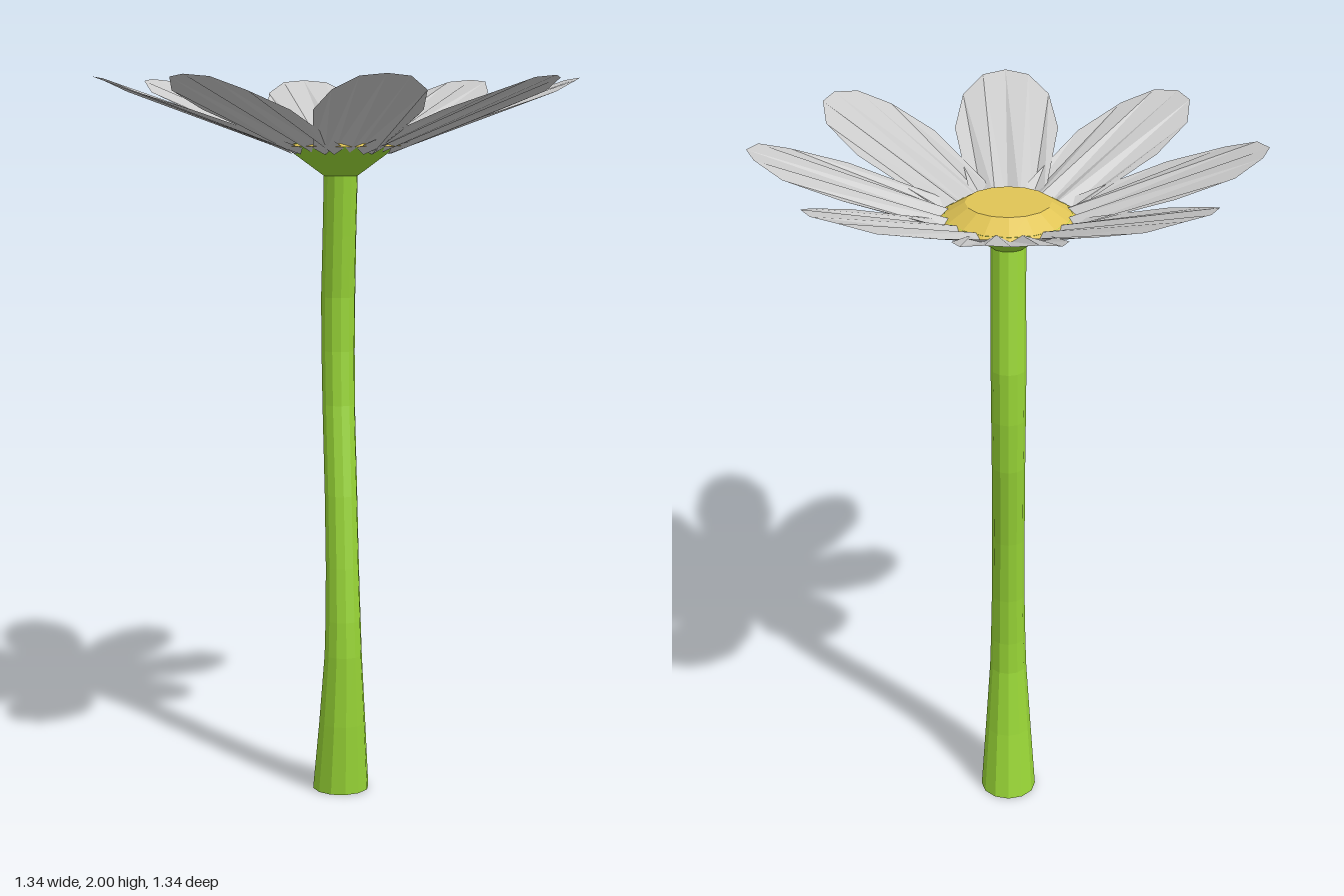
import * as THREE from 'three';

const material = (color, side = THREE.FrontSide) =>
  new THREE.MeshStandardMaterial({ color, side, flatShading: true });

function named(name, geometry, mat) {
  const mesh = new THREE.Mesh(geometry, mat);
  mesh.name = name;
  return mesh;
}

// Stem: a cylinder whose rings follow a gentle S-curve, [y, centre z, radius]
function stemGeometry() {
  const rings = [
    [0, 0, 0.08], [0.2, 0.025, 0.066], [0.4, 0.041, 0.053], [0.5, 0.039, 0.05],
    [0.65, 0.027, 0.047], [0.85, 0.004, 0.046], [1.1, -0.034, 0.046],
    [1.25, -0.044, 0.047], [1.4, -0.043, 0.048], [1.57, -0.022, 0.047], [1.74, 0, 0.047],
  ];
  const last = rings.length - 1;
  const geometry = new THREE.CylinderGeometry(1, 1, last, 12, last);
  const p = geometry.attributes.position;
  for (let i = 0; i < p.count; i++) {
    const [y, z, r] = rings[Math.round(p.getY(i) + last / 2)];
    p.setXYZ(i, p.getX(i) * r, y, z + p.getZ(i) * r);
  }
  geometry.computeVertexNormals();
  return geometry;
}

// Petal: pleats fanning from a narrow base to a rounded tip, rising outwards along +z
function petalGeometry() {
  const ends = [[0, 0.67], [0.064, 0.645], [0.12, 0.57], [0.142, 0.42]];
  const positions = [];
  const index = [];
  for (let j = -3; j <= 3; j++) {
    const [x, r] = ends[Math.abs(j)];
    const fold = j % 2 ? 1 : -1;
    const baseR = 0.12;
    positions.push(j * 0.032, 1.76 + 0.36 * baseR + fold * 0.009, baseR);
    positions.push(Math.sign(j) * x, 1.759 + 0.36 * r + (j ? fold * 0.003 : 0), r);
  }
  for (let a = 0; a < 12; a += 2) index.push(a, a + 1, a + 3, a, a + 3, a + 2);
  const geometry = new THREE.BufferGeometry();
  geometry.setAttribute('position', new THREE.Float32BufferAttribute(positions, 3));
  geometry.setIndex(index);
  geometry.computeVertexNormals();
  return geometry;
}

export function createModel() {
  const flower = new THREE.Group();
  flower.name = 'flower';
  const green = material(0x98d536);

  flower.add(named('stem', stemGeometry(), green));

  // Cup under the petals
  const cup = named('cup', new THREE.CylinderGeometry(0.168, 0.047, 0.088, 16), green);
  cup.position.y = 1.735 + 0.044;
  flower.add(cup);

  // Flat-topped flower centre
  const centre = named('flowerCentre',
    new THREE.CylinderGeometry(0.113, 0.178, 0.04, 16), material(0xe0c455));
  centre.position.y = 1.836;
  flower.add(centre);

  // Ring of eight petals
  const petals = new THREE.Group();
  petals.name = 'petals';
  const shape = petalGeometry();
  const grey = material(0xcccccc, THREE.DoubleSide);
  for (let i = 0; i < 8; i++) {
    const petal = named('petal', shape, grey);
    petal.rotation.y = (i * Math.PI) / 4;
    petals.add(petal);
  }
  flower.add(petals);

  return flower;
}
